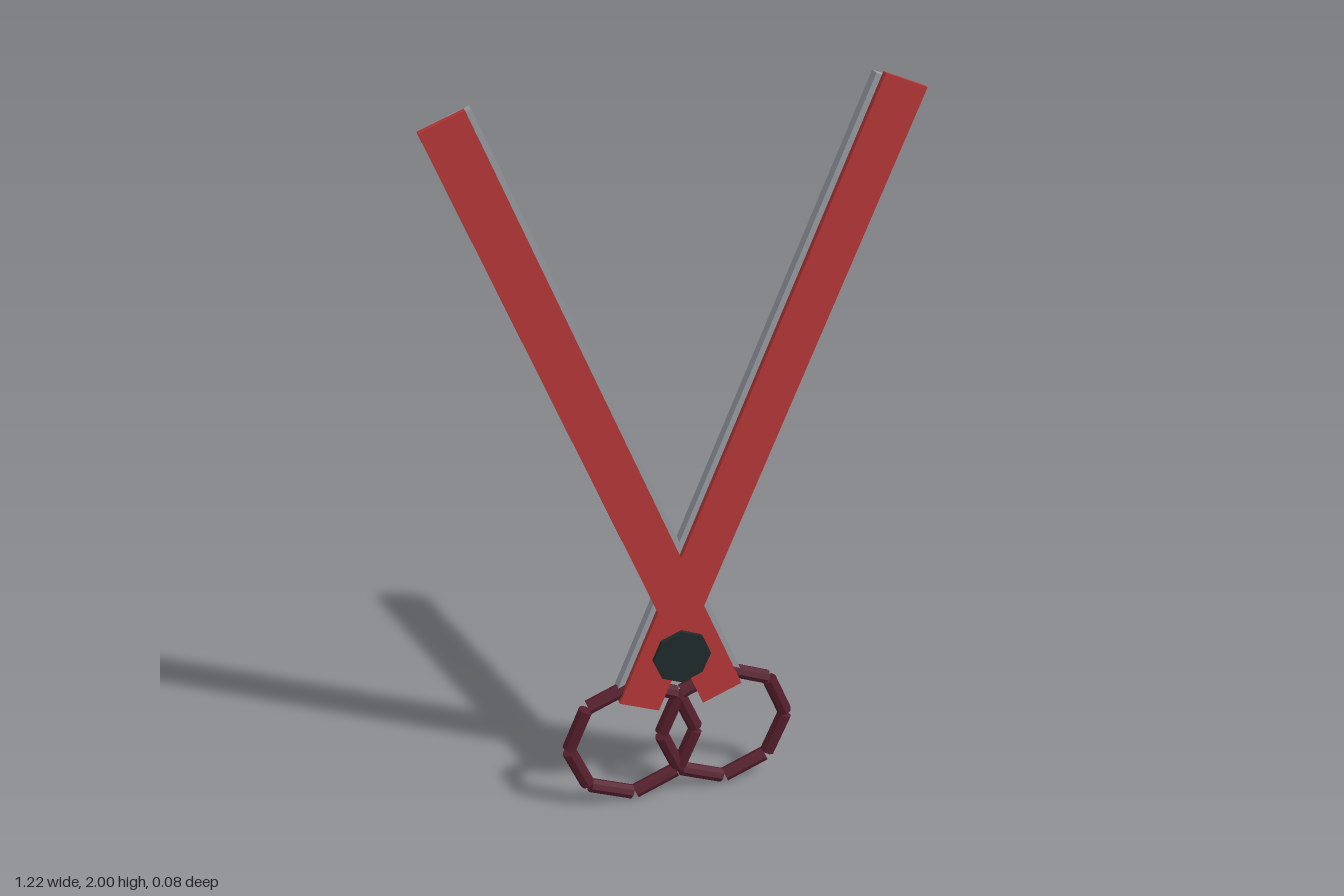
import * as THREE from 'three';

const material = (name, color) => {
  const m = new THREE.MeshStandardMaterial({ color, flatShading: true });
  m.name = name;
  return m;
};

export function createModel() {
  const red = material('red', 0xb83838);
  const steel = material('steel grey', 0x9a9ea4);
  const maroon = material('maroon', 0x561f2d);
  const dark = material('dark pivot', 0x1f2b2c);

  const model = new THREE.Group();
  model.name = 'scissors';

  const add = (parent, name, geometry, mat, x, y, z) => {
    const mesh = new THREE.Mesh(geometry, mat);
    mesh.name = name;
    mesh.position.set(x, y, z);
    parent.add(mesh);
    return mesh;
  };

  const bladeLength = 1.793;
  const ringRadius = 0.18;
  const apothem = ringRadius * Math.cos(Math.PI / 8);

  for (const s of [1, -1]) {
    const side = s > 0 ? 'left' : 'right';

    // Red front plate with a narrower steel bar set inward behind it
    const blade = new THREE.Group();
    blade.name = side + 'Blade';
    blade.position.set(s * 0.219, 1.147, 0);
    blade.rotation.z = -s * THREE.MathUtils.degToRad(22);
    add(blade, side + 'BladePlate', new THREE.BoxGeometry(0.117, bladeLength, 0.016), red, 0, 0, 0.019);
    add(blade, side + 'BladeSteel', new THREE.BoxGeometry(0.094, bladeLength - 0.018, 0.028), steel, -s * 0.0265, 0, -0.003);
    model.add(blade);

    // Finger ring made of eight separate straight bars
    const ring = new THREE.Group();
    ring.name = side + 'FingerRing';
    ring.position.set(s * 0.13, 0.196, 0);
    for (let i = 0; i < 8; i++) {
      const a = (i + 0.5) * Math.PI / 4;
      const bar = add(ring, 'ringBar', new THREE.CylinderGeometry(0.02, 0.02, 0.126, 8), maroon,
        Math.cos(a) * apothem, Math.sin(a) * apothem, 0.001);
      bar.rotation.z = a;
    }
    model.add(ring);
  }

  // Octagonal pivot through both blades
  const pivot = add(model, 'pivot', new THREE.CylinderGeometry(0.08, 0.08, 0.078, 8), dark, 0, 0.46, -0.001);
  pivot.rotation.x = Math.PI / 2;

  return model;
}
